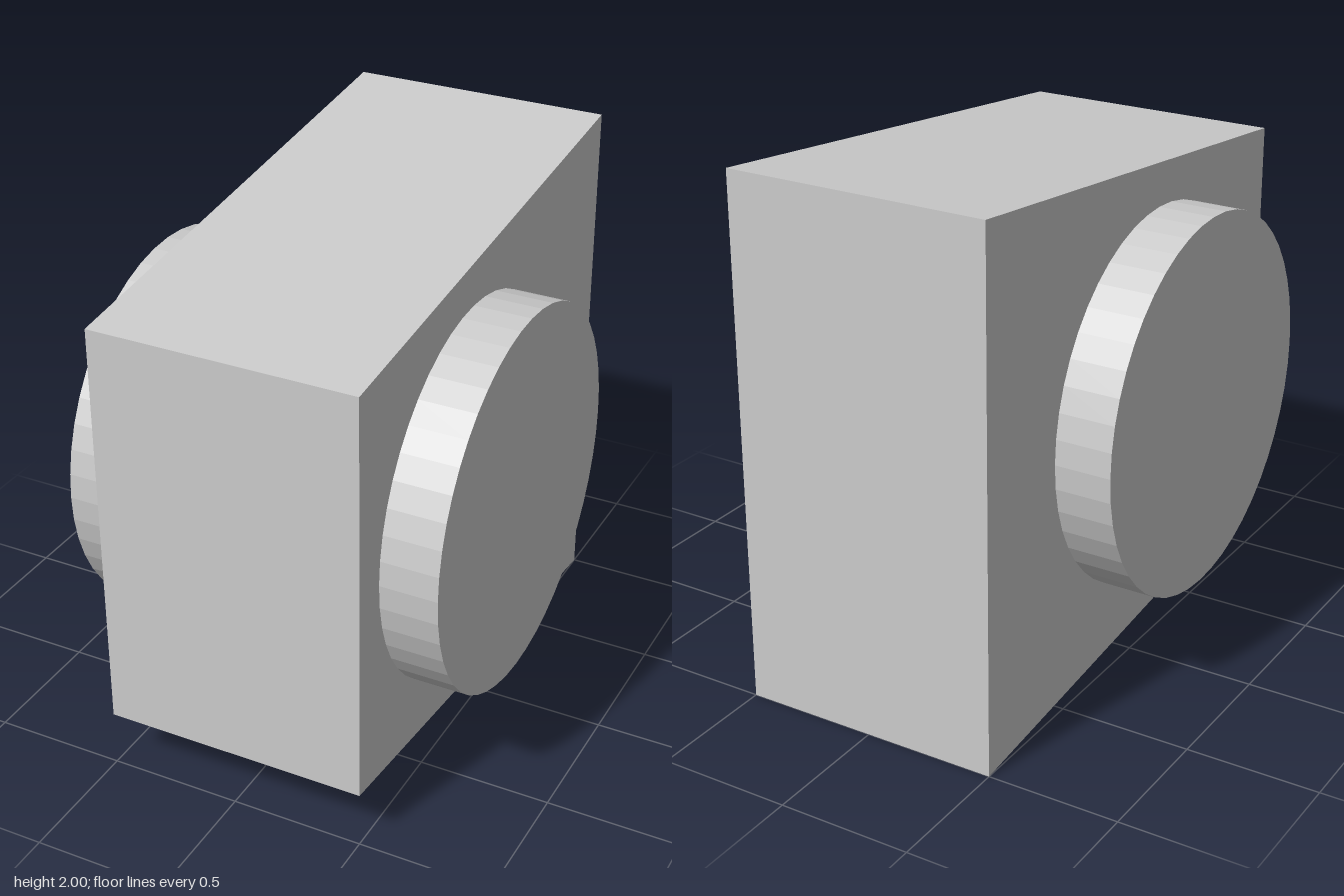
import * as THREE from 'three';

export function createModel() {
  const group = new THREE.Group();
  const material = new THREE.MeshStandardMaterial({ color: 0xcccccc, flatShading: true });

  // Tapered body: side profile in (z, y), taller at the back, extruded across x
  const profile = new THREE.Shape([
    new THREE.Vector2(-1, 0),
    new THREE.Vector2(1, 0.215),
    new THREE.Vector2(1, 1.785),
    new THREE.Vector2(-1, 2),
  ]);
  const bodyGeometry = new THREE.ExtrudeGeometry(profile, { depth: 1, bevelEnabled: false });
  bodyGeometry.rotateY(-Math.PI / 2).translate(0.5, 0, 0);
  const body = new THREE.Mesh(bodyGeometry, material);
  body.name = 'body';
  group.add(body);

  // Round disc on each side, set slightly forward of centre
  const discGeometry = new THREE.CylinderGeometry(0.714, 0.714, 0.214, 48);
  discGeometry.rotateZ(Math.PI / 2);
  for (const side of [1, -1]) {
    const disc = new THREE.Mesh(discGeometry, material);
    disc.name = side > 0 ? 'leftDisc' : 'rightDisc';
    disc.position.set(side * 0.607, 1, 0.143);
    group.add(disc);
  }

  return group;
}
